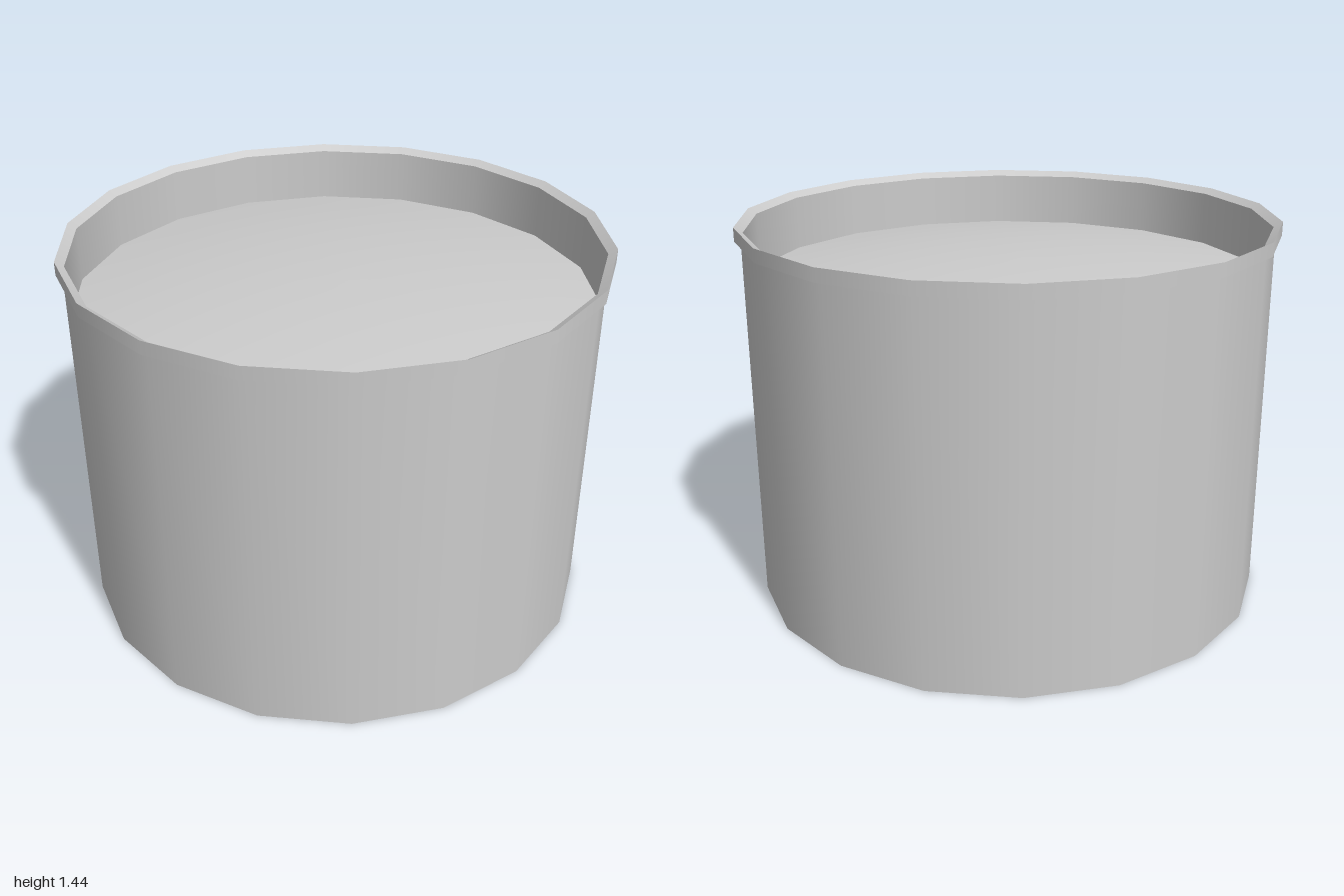
import * as THREE from 'three';

const SIDES = 18;
const grey = new THREE.MeshStandardMaterial({ color: 0xcccccc, side: THREE.DoubleSide });

// Revolve a profile of [radius, y] points, with a corner on the x axis
function ring(name, points) {
  const profile = points.map(([r, y]) => new THREE.Vector2(r, y));
  const mesh = new THREE.Mesh(new THREE.LatheGeometry(profile, SIDES, Math.PI / 2), grey);
  mesh.name = name;
  return mesh;
}

export function createModel() {
  const model = new THREE.Group();
  model.name = 'openBottomedDrum';

  // Thin outer wall, open at the bottom
  model.add(ring('outerWall', [[0.977, 0], [0.977, 1.39]]));

  // Rim band; separate strips keep its edges sharp
  const rim = new THREE.Group();
  rim.name = 'rim';
  rim.add(
    ring('rimUnderside', [[0.977, 1.39], [1, 1.39]]),
    ring('rimBand', [[1, 1.39], [1, 1.44]]),
    ring('rimBevel', [[1, 1.44], [0.968, 1.42]])
  );
  model.add(rim);

  // Inner wall from the rim down to the recessed top
  model.add(ring('innerWall', [[0.968, 1.42], [0.968, 1.215]]));

  // Gently domed recessed top
  const dome = [];
  const steps = 6;
  for (let i = 0; i <= steps; i++) {
    const t = 1 - i / steps;
    dome.push([0.968 * t, 1.215 + 0.08 * (1 - t * t)]);
  }
  model.add(ring('recessedTop', dome));

  return model;
}
